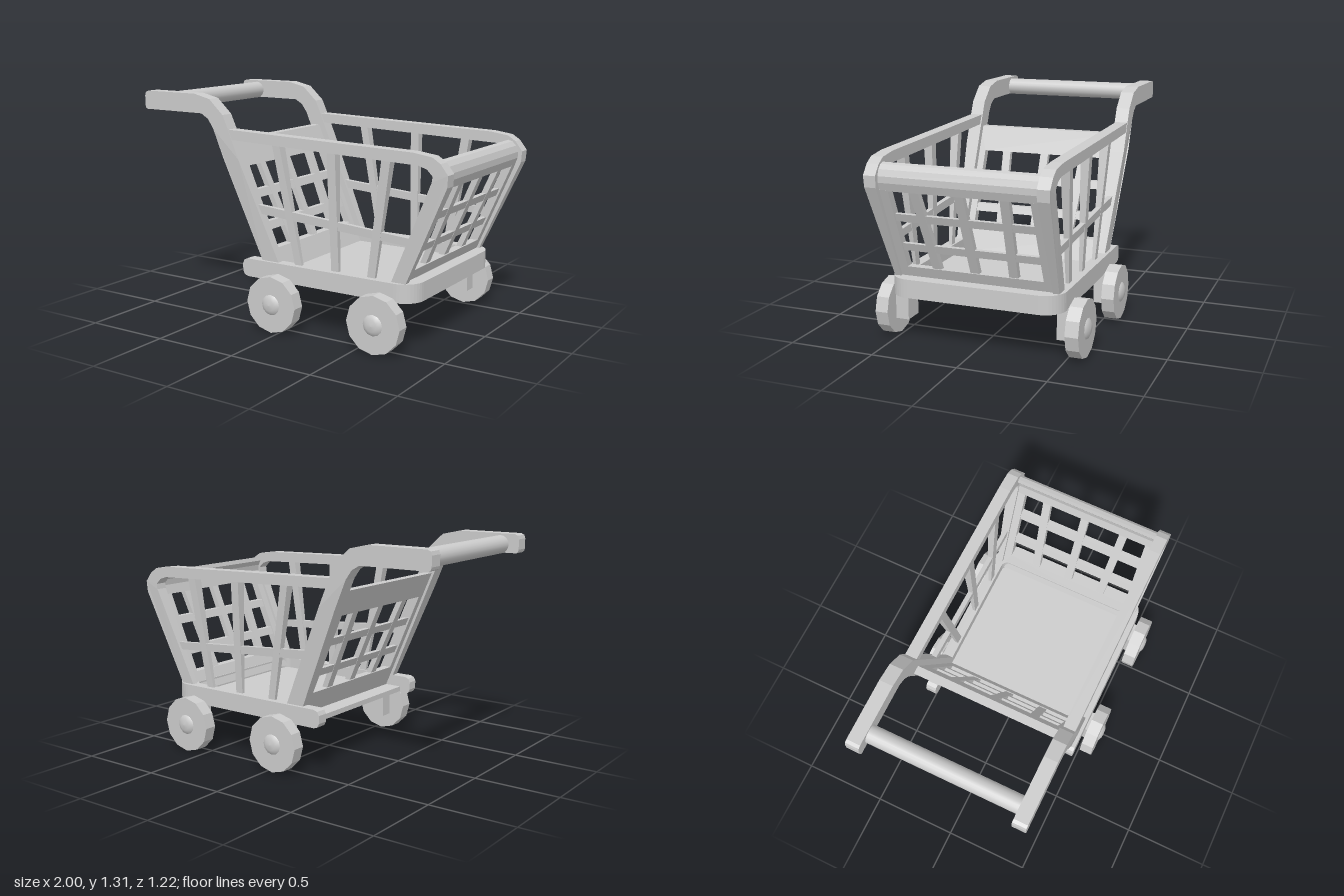
import * as THREE from 'three';

const mat = new THREE.MeshStandardMaterial({ color: 0xcccccc, flatShading: true });
const smooth = new THREE.MeshStandardMaterial({ color: 0xcccccc });

const toShape = pts => new THREE.Shape(pts.map(p => new THREE.Vector2(p[0], p[1])));
const extrude = (shape, depth, curveSegments = 4) =>
  new THREE.ExtrudeGeometry(shape, { depth, bevelEnabled: false, curveSegments });

function add(parent, name, geometry, material = mat) {
  const mesh = new THREE.Mesh(geometry, material);
  mesh.name = name;
  parent.add(mesh);
  return mesh;
}

// Moves every vertex by a rule
function warp(geometry, rule) {
  const p = geometry.attributes.position, v = new THREE.Vector3();
  for (let i = 0; i < p.count; i++) {
    rule(v.fromBufferAttribute(p, i));
    p.setXYZ(i, v.x, v.y, v.z);
  }
  geometry.computeVertexNormals();
  return geometry;
}

// Side outline extruded between two depths; s = 1 or -1 chooses the side.
// The outer face leans in towards the base.
function sidePiece(pts, s, z0, z1) {
  const g = extrude(toShape(pts), z1 - z0);
  g.translate(0, 0, s > 0 ? z0 : -z1);
  return warp(g, v => {
    const outer = Math.abs(v.z) > (z0 + z1) / 2;
    if (outer) v.z -= s * 0.06 * Math.max(0, 0.95 - v.y);
  });
}

// Sloping end panel: frame with one opening, filled by a lattice
function endPanel(name, xInner, dir, yBottom, yTop) {
  const group = new THREE.Group();
  group.name = name;
  const place = (shape, from, thick) => {
    const g = extrude(shape, thick);
    g.rotateY(Math.PI / 2);
    g.translate(dir > 0 ? xInner + from : xInner - from - thick, 0, 0);
    return warp(g, v => { v.x += dir * 0.43 * (v.y - 0.44); });
  };
  const w = 0.45, h = 0.395;
  const frame = toShape([[-w, yBottom], [w, yBottom], [w, yTop], [-w, yTop]]);
  frame.holes.push(toShape([[-h, 0.44], [-h, 0.9], [h, 0.9], [h, 0.44]]));
  if (yTop > 0.91) add(group, 'panelFrame', place(frame, 0, 0.05));
  else {
    // frame without a top rail, which is a separate rounded bar
    add(group, 'panelFrame', place(toShape([[-w, yTop], [-w, yBottom], [w, yBottom], [w, yTop],
      [h, yTop], [h, 0.44], [-h, 0.44], [-h, yTop]]), 0, 0.05));
  }
  for (const k of [-1, 0, 1]) {
    const b = 0.222 * k, t = 0.252 * k, r = 0.025;
    add(group, 'uprightSlat', place(toShape([[b - r, 0.43], [b + r, 0.43], [t + r, 0.91], [t - r, 0.91]]), 0.005, 0.035));
  }
  for (const y of [0.54, 0.72]) {
    add(group, 'crossSlat', place(toShape([[-0.4, y], [0.4, y], [0.4, y + 0.045], [-0.4, y + 0.045]]), 0.007, 0.031));
  }
  return group;
}

export function createModel() {
  const cart = new THREE.Group();
  cart.name = 'shoppingCart';

  // Handle arm running down into the rear post
  const arm = [[-0.985, 1.2], [-0.572, 1.198], [-0.524, 1.17], [-0.487, 1.118], [-0.416, 0.95], [-0.16, 0.345],
    [-0.047, 0.345], [-0.308, 0.95], [-0.38, 1.118], [-0.417, 1.198], [-0.51, 1.283], [-0.62, 1.308],
    [-0.975, 1.308], [-0.993, 1.3], [-1, 1.28], [-1, 1.222], [-0.995, 1.207]];
  // Top rail bending into the front post
  const rail = [[-0.4, 1.061], [0.834, 1.021], [0.882, 1.005], [0.914, 0.973], [0.909, 0.941], [0.65, 0.345],
    [0.736, 0.345], [0.995, 0.92], [1, 0.984], [0.957, 1.04], [0.91, 1.07], [0.8, 1.085], [-0.4, 1.118]];
  const midRail = [[-0.22, 0.65], [0.77, 0.583], [0.79, 0.626], [-0.24, 0.702]];
  const slats = [[0.043, 0.09, -0.037, -0.086], [0.283, 0.33, 0.326, 0.273], [0.508, 0.556, 0.668, 0.615]];
  const runner = [[-0.265, 0.275], [0.62, 0.275], [0.62, 0.38], [-0.265, 0.38], [-0.288, 0.372],
    [-0.3, 0.35], [-0.3, 0.305], [-0.288, 0.283]];

  for (const s of [1, -1]) {
    const side = new THREE.Group();
    side.name = s > 0 ? 'leftSide' : 'rightSide';
    cart.add(side);
    add(side, 'handleArm', sidePiece(arm, s, 0.435, 0.515));
    add(side, 'topRailAndFrontPost', sidePiece(rail, s, 0.442, 0.512));
    add(side, 'middleRail', sidePiece(midRail, s, 0.45, 0.496));
    for (const [a, b, c, d] of slats) {
      add(side, 'sideSlat', sidePiece([[a, 0.36], [b, 0.36], [c, 1.06], [d, 1.06]], s, 0.447, 0.5));
    }
    const run = extrude(toShape(runner), 0.065);
    run.translate(0, 0, s > 0 ? 0.435 : -0.5);
    add(side, 'baseRunner', run);

    // Wheels with their brackets and domed hubs
    for (const x of [-0.04, 0.62]) {
      const wheel = new THREE.Group();
      wheel.name = 'wheelAssembly';
      wheel.position.set(x, 0.163, 0);
      side.add(wheel);
      add(wheel, 'bracket', new THREE.BoxGeometry(0.12, 0.18, 0.08)).position.set(0, 0.027, s * 0.48);
      const tyre = add(wheel, 'wheel', new THREE.CylinderGeometry(0.163, 0.163, 0.075, 12));
      tyre.rotation.x = s * Math.PI / 2;
      tyre.position.z = s * 0.5545;
      const hub = add(wheel, 'hubCap', new THREE.LatheGeometry(
        [[0.06, 0], [0.052, 0.008], [0.032, 0.018], [0, 0.021]].map(p => new THREE.Vector2(...p)), 12), smooth);
      hub.rotation.x = s * Math.PI / 2;
      hub.position.z = s * 0.591;
    }
  }

  // Rounded front of the base rim
  const rim = new THREE.Shape();
  rim.moveTo(0.62, -0.5);
  rim.lineTo(0.69, -0.5);
  rim.absarc(0.69, -0.38, 0.12, -Math.PI / 2, 0, false);
  rim.absarc(0.69, 0.38, 0.12, 0, Math.PI / 2, false);
  rim.lineTo(0.62, 0.5);
  rim.lineTo(0.62, 0.435);
  rim.absarc(0.64, 0.395, 0.04, Math.PI / 2, 0, true);
  rim.absarc(0.64, -0.395, 0.04, 0, -Math.PI / 2, true);
  rim.lineTo(0.62, -0.435);
  const rimGeo = extrude(rim, 0.105, 5);
  rimGeo.rotateX(Math.PI / 2);
  rimGeo.translate(0, 0.38, 0);
  add(cart, 'frontRim', rimGeo);

  // Floor
  add(cart, 'floor', new THREE.BoxGeometry(0.92, 0.03, 0.89)).position.set(0.23, 0.3, 0);

  // End panels
  cart.add(endPanel('frontPanel', 0.71, 1, 0.33, 0.905));
  cart.add(endPanel('backPanel', -0.13, -1, 0.3, 1.045));

  // Rounded bar over the front panel
  const bar = extrude(toShape([[0.908, 0.9], [0.957, 0.9], [0.974, 0.945], [0.975, 0.98], [0.962, 1.015],
    [0.938, 1.038], [0.912, 1.045], [0.905, 1.02], [0.92, 0.99], [0.924, 0.955]]), 0.9);
  bar.translate(0, 0, -0.45);
  add(cart, 'frontBar', bar);

  // Push handle
  const grip = add(cart, 'pushHandle', new THREE.CylinderGeometry(0.052, 0.052, 0.9, 20), smooth);
  grip.rotation.x = Math.PI / 2;
  grip.position.set(-0.885, 1.246, 0);

  return cart;
}
